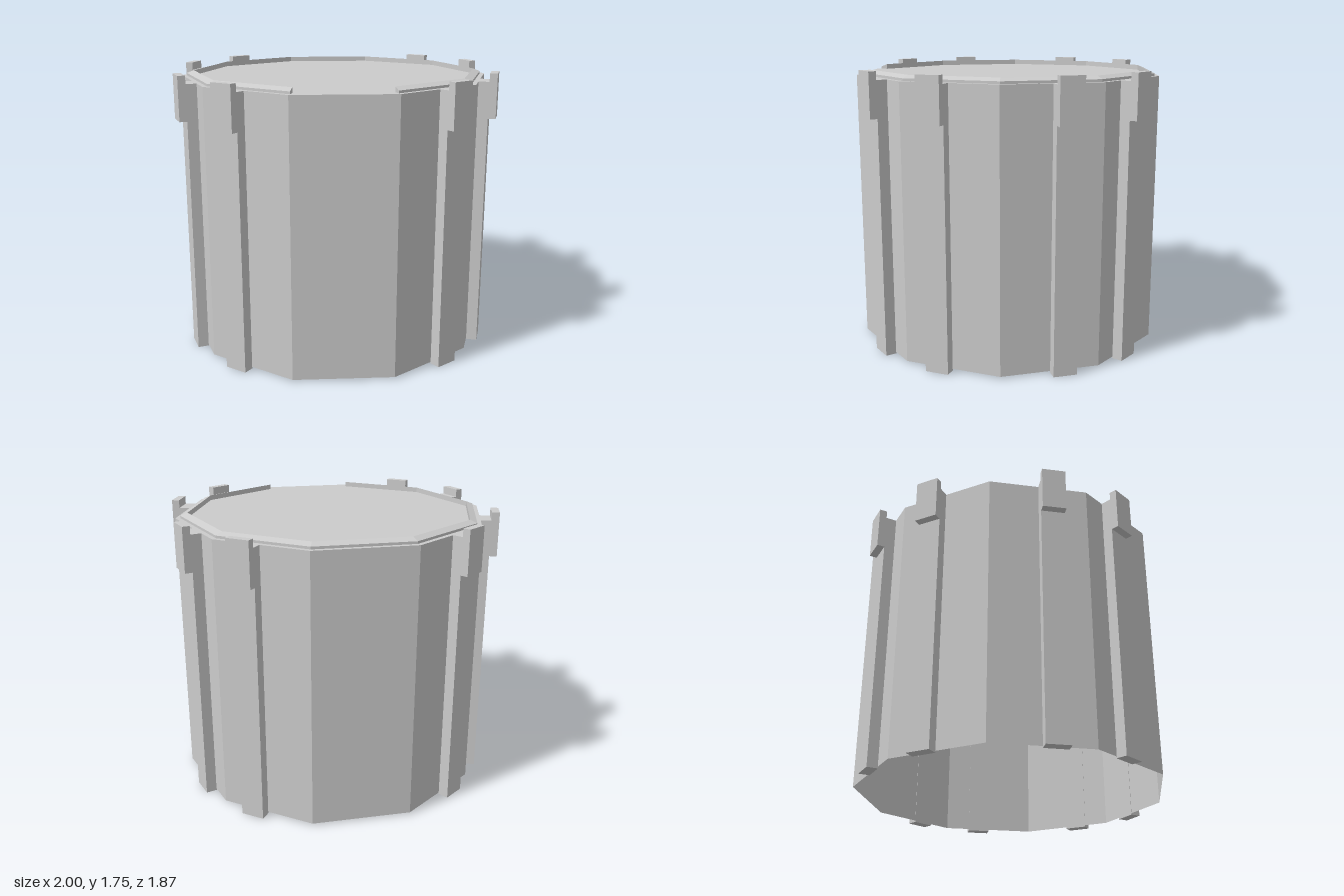
import * as THREE from 'three';

const rad = THREE.MathUtils.degToRad;
const polygon = (pts) => new THREE.Shape(pts.map(([x, y]) => new THREE.Vector2(x, y)));

export function createModel() {
  const model = new THREE.Group();
  model.name = 'tenSidedDrum';
  const material = new THREE.MeshStandardMaterial({
    color: 0xcccccc, flatShading: true, side: THREE.DoubleSide,
  });
  const add = (name, geometry, parent = model) => {
    const mesh = new THREE.Mesh(geometry, material);
    mesh.name = name;
    parent.add(mesh);
    return mesh;
  };

  // Ten-sided wall, open underneath, with a flat top
  const radius = 0.985, bottom = 0.01, top = 1.7;
  const wall = new THREE.CylinderGeometry(radius, radius, top - bottom, 10, 1, true, rad(18));
  add('wall', wall.translate(0, (top + bottom) / 2, 0));
  add('topPlate', new THREE.CircleGeometry(radius, 10).rotateX(-Math.PI / 2).translate(0, top, 0));

  // Raised rim with a sloping top, left open along the front side
  const rimProfile = [[0.955, top], [0.955, 1.715], [0.91, 1.732], [0.91, top]];
  const rimPoints = rimProfile.map(([x, y]) => new THREE.Vector2(x, y));
  add('rim', new THREE.LatheGeometry(rimPoints, 9, rad(18), rad(324)));
  for (const side of [1, -1]) {
    const end = add('rimEnd', new THREE.ShapeGeometry(polygon(rimProfile)));
    end.rotation.y = rad(side * 18 - 90);
  }

  // Upright posts with a thicker clip at the head, mirrored into all four quarters
  const width = 0.145;
  const postProfile = polygon([
    [0.935, 0], [1.003, 0], [1.003, 1.475], [1.05, 1.475],
    [1.05, 1.75], [1.003, 1.75], [1.003, top], [0.935, top],
  ]);
  const post = new THREE.ExtrudeGeometry(postProfile, { depth: width, bevelEnabled: false });
  const placePost = (angle, offsetSide) => {
    const holder = new THREE.Group();
    holder.name = 'clipPost';
    holder.rotation.y = -rad(angle);
    add('post', post, holder).position.z = offsetSide > 0 ? 0 : -width;
    model.add(holder);
  };
  for (const [angle, offsetSide] of [[18, 1], [54, -1]]) {
    for (const mirror of [1, -1]) {
      placePost(mirror * angle, mirror * offsetSide);
      placePost(180 - mirror * angle, -mirror * offsetSide);
    }
  }
  return model;
}
